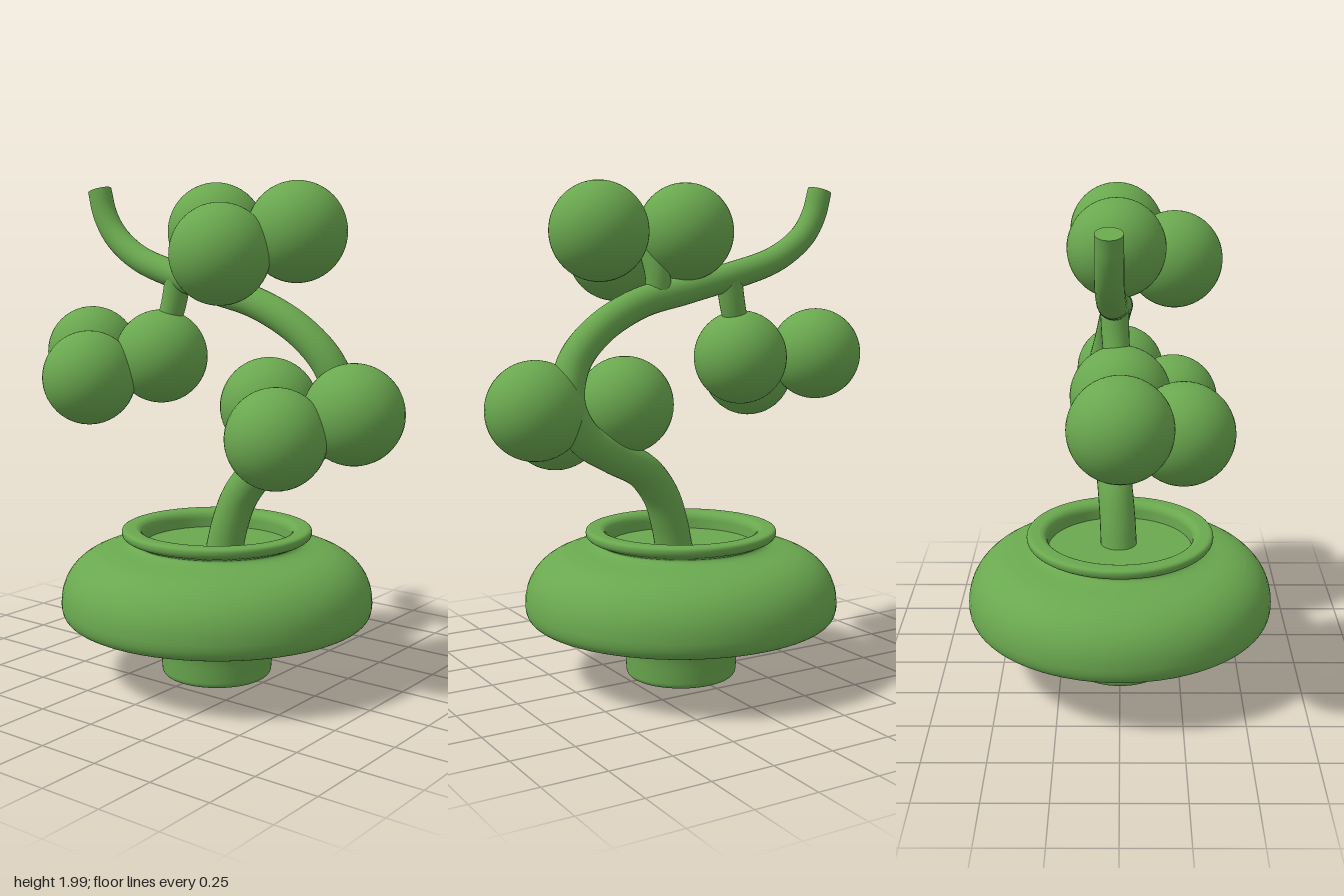
import * as THREE from 'three';

const material = new THREE.MeshStandardMaterial({ color: 0x6aa84f });
const V = (p) => new THREE.Vector3(...p);

function add(parent, name, geometry) {
  const mesh = new THREE.Mesh(geometry, material);
  mesh.name = name;
  parent.add(mesh);
  return mesh;
}

// Smooth tube that tapers from r0 to r1 and is closed at its far end
function branch(parent, name, points, r0, r1, segments = 80) {
  const curve = new THREE.CatmullRomCurve3(points.map(V));
  const sides = 24;
  const tube = new THREE.TubeGeometry(curve, segments, 1, sides);
  const pos = tube.attributes.position;
  const v = new THREE.Vector3();
  for (let i = 0; i <= segments; i++) {
    const centre = curve.getPointAt(i / segments);
    const r = THREE.MathUtils.lerp(r0, r1, i / segments);
    for (let j = 0; j <= sides; j++) {
      const k = i * (sides + 1) + j;
      v.fromBufferAttribute(pos, k).sub(centre).multiplyScalar(r).add(centre);
      pos.setXYZ(k, v.x, v.y, v.z);
    }
  }
  const group = new THREE.Group();
  group.name = name;
  parent.add(group);
  add(group, name + 'Tube', tube);
  const cap = add(group, name + 'End', new THREE.CircleGeometry(r1, sides));
  cap.position.copy(curve.getPointAt(1));
  cap.quaternion.setFromUnitVectors(new THREE.Vector3(0, 0, 1), curve.getTangentAt(1));
}

// Footed bowl: foot, flared underside, rounded belly, neck, rolled lip and soil
function makePot() {
  const s = new THREE.Path();
  s.moveTo(0, 0.005);
  s.lineTo(0.205, 0.005);
  s.quadraticCurveTo(0.225, 0.007, 0.226, 0.03);
  s.lineTo(0.23, 0.09);
  s.bezierCurveTo(0.235, 0.17, 0.27, 0.235, 0.35, 0.243);
  s.lineTo(0.57, 0.247);
  s.bezierCurveTo(0.615, 0.25, 0.636, 0.265, 0.636, 0.32);
  s.bezierCurveTo(0.636, 0.43, 0.56, 0.52, 0.42, 0.533);
  s.bezierCurveTo(0.37, 0.54, 0.345, 0.545, 0.338, 0.56);
  s.bezierCurveTo(0.345, 0.572, 0.375, 0.57, 0.386, 0.59);
  s.bezierCurveTo(0.392, 0.612, 0.385, 0.62, 0.365, 0.62);
  s.lineTo(0.335, 0.62);
  s.quadraticCurveTo(0.305, 0.615, 0.302, 0.585);
  s.lineTo(0.3, 0.545);
  const pot = new THREE.Group();
  pot.name = 'pot';
  add(pot, 'bowl', new THREE.LatheGeometry(s.getPoints(10), 72));
  const soil = add(pot, 'soil', new THREE.CircleGeometry(0.302, 72));
  soil.rotation.x = -Math.PI / 2;
  soil.position.y = 0.548;
  pot.position.x = 0.015;
  return pot;
}

export function createModel() {
  const model = new THREE.Group();
  model.name = 'bonsai';
  model.add(makePot());

  // Winding trunk
  branch(model, 'trunk', [
    [0.05, 0.53, -0.005], [0.075, 0.64, -0.01], [0.12, 0.76, -0.02], [0.21, 0.87, -0.035],
    [0.36, 0.95, -0.055], [0.49, 1.03, -0.075], [0.555, 1.16, -0.075], [0.515, 1.31, -0.045],
    [0.4, 1.43, -0.025], [0.21, 1.53, -0.01], [0, 1.58, -0.01], [-0.2, 1.63, -0.02],
    [-0.42, 1.7, -0.03], [-0.55, 1.79, -0.035], [-0.61, 1.88, -0.035], [-0.64, 1.982, -0.035],
  ], 0.076, 0.05, 140);

  // Twigs joining the foliage to the trunk
  branch(model, 'leftTwig', [[-0.2, 1.62, -0.02], [-0.225, 1.5, -0.015], [-0.28, 1.34, 0]], 0.054, 0.048, 20);
  branch(model, 'topTwig', [[0.12, 1.55, -0.01], [0.13, 1.65, -0.01], [0.15, 1.76, 0.02]], 0.052, 0.045, 20);
  branch(model, 'rightTwig', [[0.54, 1.13, -0.07], [0.6, 1.15, -0.03], [0.65, 1.15, 0]], 0.052, 0.045, 20);

  // Each foliage cluster: two balls side by side and a lower one in front
  const clusters = {
    leftFoliage: [-0.465, 1.3, 0.003],
    topFoliage: [0.193, 1.807, -0.013],
    rightFoliage: [0.463, 1.135, 0],
  };
  for (const [name, p] of Object.entries(clusters)) {
    const cluster = new THREE.Group();
    cluster.name = name;
    cluster.position.set(...p);
    for (const offset of [[-0.192, 0, 0], [0.192, 0, 0], [0, -0.082, 0.23]]) {
      add(cluster, 'foliageBall', new THREE.SphereGeometry(0.192, 40, 28)).position.set(...offset);
    }
    model.add(cluster);
  }
  return model;
}
